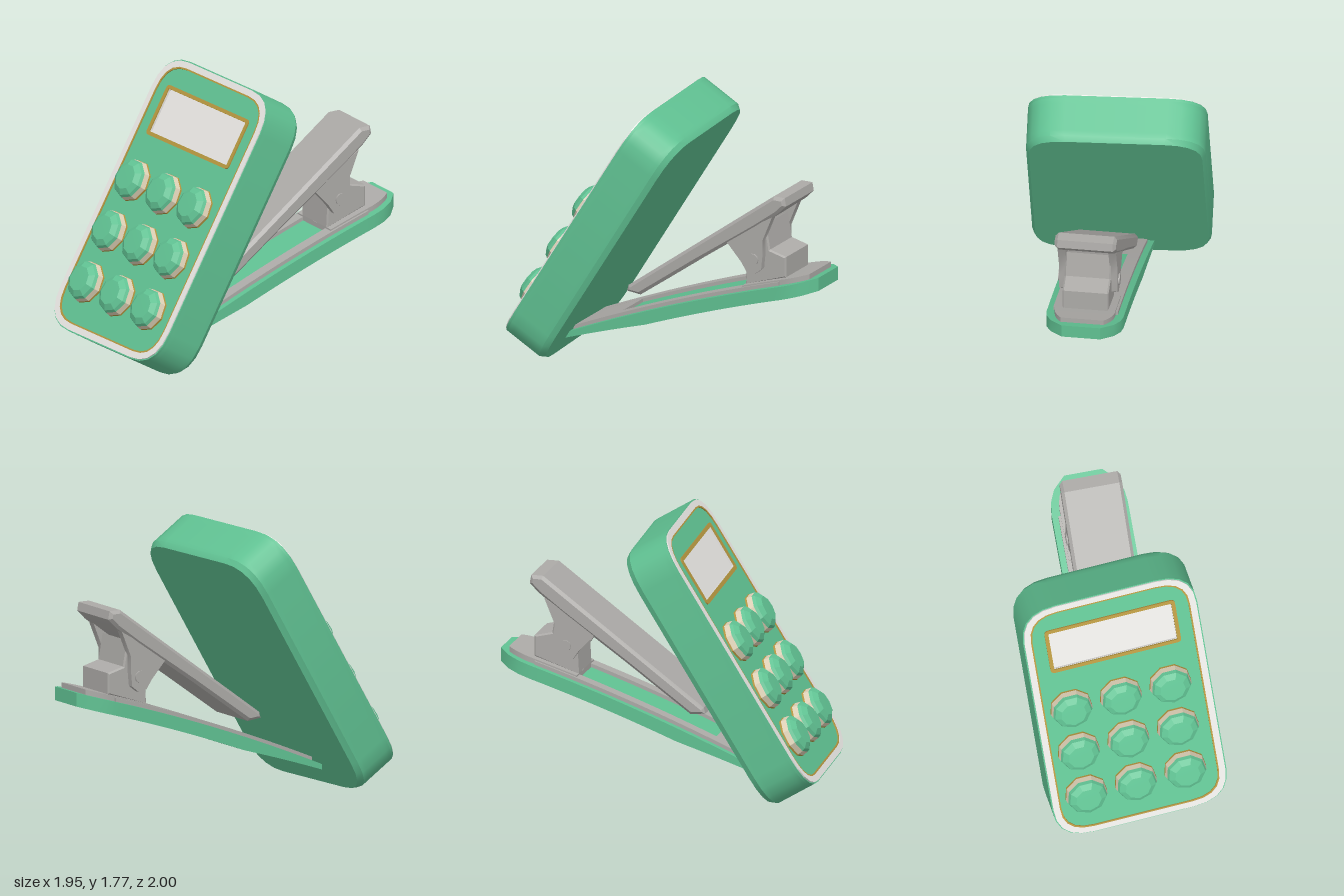
import * as THREE from 'three';
import { toCreasedNormals } from 'three/addons/utils/BufferGeometryUtils.js';

const paint = (name, color) => {
  const m = new THREE.MeshStandardMaterial({ color });
  m.name = name;
  return m;
};

// Rounded rectangle, as a Shape or a hole Path, centred on (0, cy)
function roundRect(w, h, r, cy = 0, Kind = THREE.Shape) {
  const p = new Kind(), x = w / 2, b = cy - h / 2, t = cy + h / 2;
  p.moveTo(-x + r, b);
  p.lineTo(x - r, b);
  p.quadraticCurveTo(x, b, x, b + r);
  p.lineTo(x, t - r);
  p.quadraticCurveTo(x, t, x - r, t);
  p.lineTo(-x + r, t);
  p.quadraticCurveTo(-x, t, -x, t - r);
  p.lineTo(-x, b + r);
  p.quadraticCurveTo(-x, b, -x + r, b);
  return p;
}

export function createModel() {
  const green = paint('green plastic', 0x60c192);
  const light = paint('light trim', 0xe6e4e1);
  const grey = paint('grey clip', 0xacaaa7);
  const gold = paint('gold line', 0xb4953f);
  const cream = paint('cream band', 0xe0d3b8);

  const model = new THREE.Group();
  model.name = 'calculatorClip';
  const turned = new THREE.Group();
  turned.name = 'turnedAssembly';
  turned.rotation.y = -0.646;
  model.add(turned);

  const add = (parent, name, geometry, material, x = 0, y = 0, z = 0) => {
    const mesh = new THREE.Mesh(geometry, material);
    mesh.name = name;
    mesh.position.set(x, y, z);
    parent.add(mesh);
    return mesh;
  };
  const slab = (shape, depth, steps = 1) =>
    new THREE.ExtrudeGeometry(shape, { depth, steps, bevelEnabled: false, curveSegments: 5 });

  // ---- Calculator: x across, y up its face, z out of its face ----
  const calc = new THREE.Group();
  calc.name = 'calculator';
  calc.position.set(-0.02, 0.16, 0.922);
  calc.rotation.x = -0.547;
  turned.add(calc);
  const W = 1.16, L = 1.905, D = 0.315, R = 0.25, mid = L / 2, recess = 0.018;
  const screenY = 1.54;

  // Back shell, pulled in a little at the rear edge
  const shell = slab(roundRect(W, L, R), D - recess, 8);
  const sp = shell.attributes.position;
  for (let i = 0; i < sp.count; i++) {
    if (sp.getZ(i) < 0.01) {
      sp.setX(i, sp.getX(i) * 0.965);
      sp.setY(i, sp.getY(i) * 0.98);
    }
  }
  add(calc, 'backShell', toCreasedNormals(shell, 0.5), green, 0, mid, -D);

  // Front shell with the screen opening
  const front = roundRect(W, L, R);
  front.holes.push(roundRect(0.84, 0.32, 0.02, screenY - mid, THREE.Path));
  add(calc, 'frontShell', toCreasedNormals(slab(front, recess), 0.5), green, 0, mid, -recess);

  // Thin rings: rim, gold lines and screen liner
  const ring = (name, w, h, r, t, depth, mat, y, z) => {
    const s = roundRect(w, h, r);
    s.holes.push(roundRect(w - 2 * t, h - 2 * t, Math.max(r - t, 0.005), 0, THREE.Path));
    add(calc, name, slab(s, depth), mat, 0, y, z);
  };
  ring('rim', W - 0.016, L - 0.016, R - 0.008, 0.042, 0.008, light, mid, 0);
  ring('rimLine', W - 0.098, L - 0.098, R - 0.045, 0.011, 0.007, gold, mid, 0);
  ring('screenFrame', 0.87, 0.35, 0.03, 0.025, 0.009, gold, screenY, 0);
  ring('screenLiner', 0.84, 0.32, 0.02, 0.012, recess, light, screenY, -recess);
  add(calc, 'screen', slab(roundRect(0.83, 0.31, 0.02), 0.006), light, 0, screenY, -recess);

  // Nine faceted buttons with a gold foot and a cream band
  const lathe = (pts) => toCreasedNormals(
    new THREE.LatheGeometry(pts.map((p) => new THREE.Vector2(...p)), 9).rotateX(Math.PI / 2), 0.3);
  const foot = lathe([[0.141, 0], [0.139, 0.012]]);
  const band = lathe([[0.139, 0.012], [0.132, 0.048]]);
  const cap = lathe([[0.132, 0.048], [0.122, 0.068], [0.085, 0.092], [0, 0.094]]);
  for (let row = 0; row < 3; row++) {
    for (let col = 0; col < 3; col++) {
      const button = new THREE.Group();
      button.name = 'button';
      button.position.set((col - 1) * 0.33 - 0.015, 0.337 + row * 0.36, 0);
      calc.add(button);
      add(button, 'buttonFoot', foot, gold);
      add(button, 'buttonBand', band, cream);
      add(button, 'buttonCap', cap, green);
    }
  }

  // ---- Clip: runs back along -z ----
  const clip = new THREE.Group();
  clip.name = 'clip';
  clip.position.x = 0.06;
  clip.rotation.y = -0.07;
  turned.add(clip);

  // Curved top line of the lower arm, half width with a rounded tip, and taper toward the body
  const armTop = (z) => 0.21 - 0.4 * (z - 0.45) - 0.045 * (z - 0.45) * (z + 0.25);
  const armHalf = (z) => 0.25 * Math.sqrt(1 - 0.75 * Math.max(0, (-1.03 - z) / 0.22) ** 2);
  const armTaper = (z) => Math.min(1, 0.4 + (0.57 - z));

  // A bar that follows the arm's curve; y0 and y1 are heights from its top line
  function bar(name, mat, x0, x1, y0, y1, z0, z1, inset) {
    const g = new THREE.BoxGeometry(1, 1, 1, 1, 1, 24);
    const p = g.attributes.position;
    for (let i = 0; i < p.count; i++) {
      const z = z0 + (z1 - z0) * (0.5 - p.getZ(i));
      const limit = armHalf(z) - inset;
      const x = THREE.MathUtils.clamp(p.getX(i) < 0 ? x0 : x1, -limit, limit);
      p.setXYZ(i, x, armTop(z) + (p.getY(i) < 0 ? y0 * armTaper(z) : y1), z);
    }
    add(clip, name, toCreasedNormals(g, 0.5), mat);
  }
  bar('lowerArm', green, -0.25, 0.25, -0.09, 0, 0.57, -1.25, 0);
  bar('leftRail', grey, 0.13, 0.25, -0.01, 0.025, 0.52, -1.0, 0.04);
  bar('rightRail', grey, -0.25, -0.13, -0.01, 0.025, 0.52, -1.0, 0.04);
  bar('jawPlate', grey, -0.25, 0.25, -0.01, 0.024, 0.52, 0.2, 0.04);
  bar('tipPlate', grey, -0.25, 0.25, -0.01, 0.035, -0.72, -1.19, 0.055);

  // Side outline (distance back, height) extruded across the clip
  function sidePlate(name, pts, width, x, bevel) {
    const shape = new THREE.Shape(pts.map((p) => new THREE.Vector2(...p)));
    const g = new THREE.ExtrudeGeometry(shape, {
      depth: width - 2 * bevel, bevelEnabled: bevel > 0, bevelSize: bevel,
      bevelThickness: bevel, bevelOffset: -bevel, bevelSegments: 1,
    });
    g.translate(0, 0, bevel - width / 2).rotateY(Math.PI / 2);
    add(clip, name, toCreasedNormals(g, 0.4), grey, x);
  }
  sidePlate('lever', [[-0.14, 0.5], [-0.04, 0.49], [0.39, 0.8], [0.62, 0.96], [0.82, 1.1],
    [0.98, 1.22], [1.04, 1.28], [1.03, 1.335], [0.95, 1.335], [-0.13, 0.54]], 0.4, 0, 0.02);

  // Hinge ears, pin and spring block
  for (const side of [-1, 1]) {
    sidePlate('hingeEar', [[0.6, 0.97], [0.71, 0.85], [0.75, 0.79], [0.81, 0.78], [0.86, 0.82],
      [0.87, 0.92], [0.87, 1.02], [0.94, 1.19], [0.82, 1.12]], 0.05, side * 0.165, 0);
  }
  add(clip, 'hingePin', new THREE.CylinderGeometry(0.04, 0.04, 0.4, 10).rotateZ(Math.PI / 2),
    grey, 0, 0.88, -0.8);
  sidePlate('springBlock', [[0.72, 0.68], [1.02, 0.78], [1.02, 0.92], [0.9, 0.95],
    [0.87, 1.12], [0.74, 1.04]], 0.3, 0, 0.01);

  return model;
}
